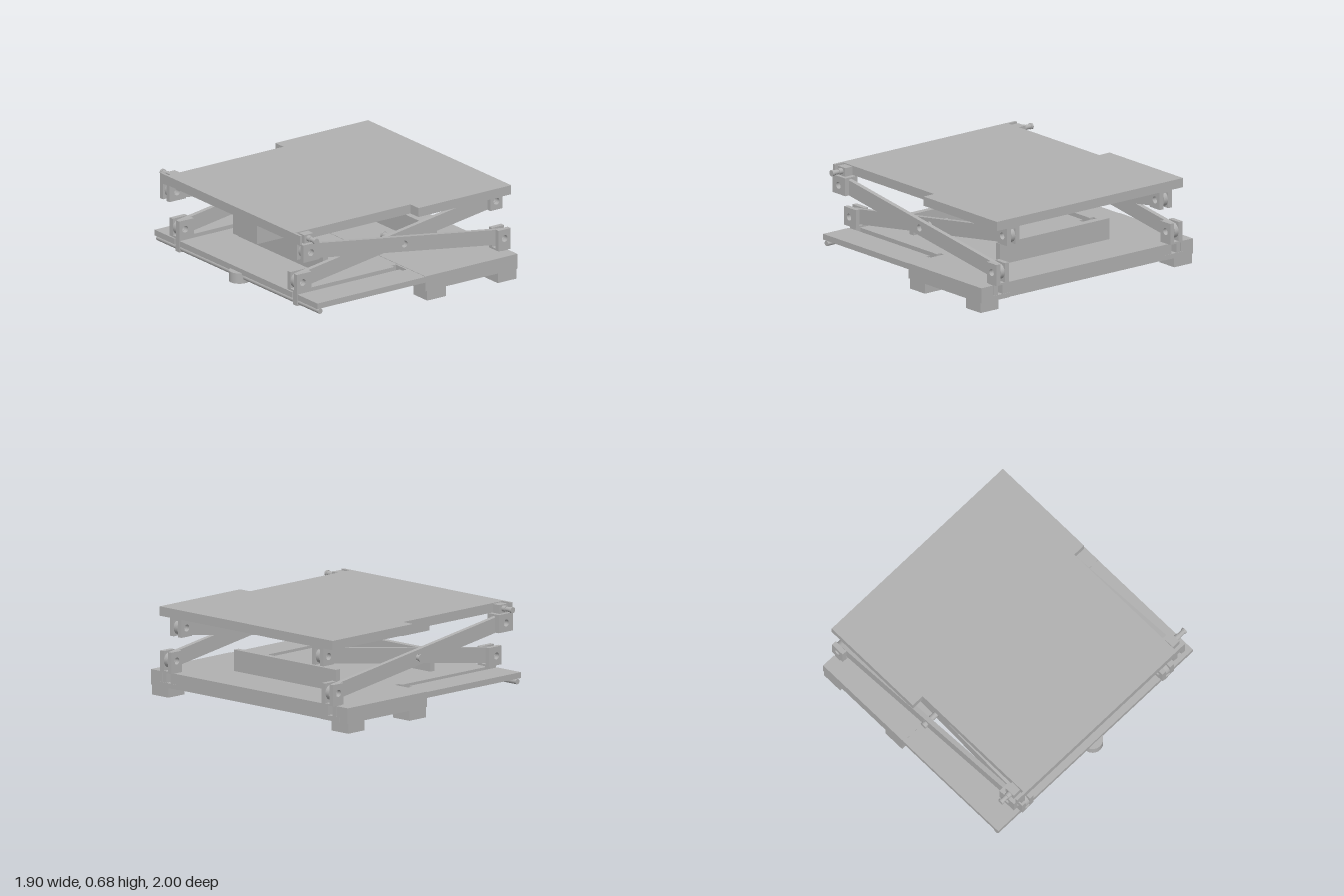
import * as THREE from 'three';

const gray = new THREE.MeshStandardMaterial({ color: 0xb0b0b0 });
gray.name = 'plain gray';

export function createModel() {
  const model = new THREE.Group();
  model.name = 'scissorLift';

  const add = (name, geometry, x = 0, y = 0, z = 0) => {
    const mesh = new THREE.Mesh(geometry, gray);
    mesh.name = name;
    mesh.position.set(x, y, z);
    model.add(mesh);
    return mesh;
  };
  // Box given by its limits on each axis
  const box = (name, x0, x1, y0, y1, z0, z1) =>
    add(name, new THREE.BoxGeometry(x1 - x0, y1 - y0, Math.abs(z1 - z0)),
      (x0 + x1) / 2, (y0 + y1) / 2, (z0 + z1) / 2);
  // Flat plate cut from a plan outline of [x, z] points
  const plate = (name, points, y0, y1) => {
    const shape = new THREE.Shape(points.map(([x, z]) => new THREE.Vector2(x, z)));
    const geometry = new THREE.ExtrudeGeometry(shape, { depth: y1 - y0, bevelEnabled: false });
    add(name, geometry.rotateX(Math.PI / 2), 0, y1, 0);
  };
  // Outline given for +z, completed by its mirror image at -z
  const mirrored = (half) => [...half, ...half.map(([x, z]) => [x, -z]).reverse()];
  // Round pin along z
  const pin = (name, x, y, z0, z1, r) =>
    add(name, new THREE.CylinderGeometry(r, r, Math.abs(z1 - z0), 24).rotateX(Math.PI / 2),
      x, y, (z0 + z1) / 2);
  const hole = (shape, x, y, r) => shape.holes.push(new THREE.Path().absarc(x, y, r, 0, Math.PI * 2, true));
  const HOLE = 0.026, MID = 0.013, LEFT = -0.865, RIGHT = 0.89, LOW = 0.28, HIGH = 0.54;

  // Table top, narrowed on the sliding side
  plate('tableTop', mirrored([[-0.95, 0.78], [0.11, 0.78], [0.11, 0.88], [0.95, 0.88]]), 0.61, 0.68);
  box('tableBlock', -0.815, -0.535, 0.385, 0.61, -0.147, 0.147);

  // Base: slotted thin half and thick half notched for the fixed brackets
  plate('baseThinHalf', mirrored([
    [0.09, 1], [-0.895, 1], [-0.895, 0.757], [0.03, 0.757], [0.03, 0.79], [0.07, 0.79],
    [0.07, 0.655], [0.03, 0.655], [0.03, 0.69], [-0.895, 0.69],
  ]), 0.143, 0.187);
  plate('baseThickHalf', mirrored([
    [0.085, 1], [0.917, 1], [0.917, 0.887], [0.86, 0.887], [0.86, 0.765], [0.917, 0.765],
  ]), 0.075, 0.19);
  for (const x of [-0.49, 0.5]) box('crossWall', x, x + 0.045, 0.187, 0.35, -0.517, 0.517);

  // Cross rod and its round nut
  pin('driveRod', LEFT, 0.12, -0.995, 0.995, 0.02);
  add('driveNut', new THREE.CylinderGeometry(0.077, 0.077, 0.08, 40), LEFT, 0.115, 0);

  // Forked bracket: two drilled cheeks joined by a bridge
  const bracket = (name, x0, x1, y0, y1, holeX, holeY, z, bridgeLow) => {
    for (const offset of [0.04, -0.04]) {
      const cheek = new THREE.Shape([
        new THREE.Vector2(x0, y0), new THREE.Vector2(x1, y0),
        new THREE.Vector2(x1, y1), new THREE.Vector2(x0, y1),
      ]);
      hole(cheek, holeX, holeY, HOLE);
      add(name + 'Cheek', new THREE.ExtrudeGeometry(cheek, { depth: 0.037, bevelEnabled: false, curveSegments: 20 }),
        0, 0, z + offset - 0.0185);
    }
    const b = bridgeLow ? y0 : y1 - 0.014;
    box(name + 'Bridge', x0, x1, b, b + 0.014, z - 0.03, z + 0.03);
  };

  // Drilled, round-ended arm between two pivots
  const arm = (name, yLeft, yRight, z) => {
    const dx = RIGHT - LEFT, dy = yRight - yLeft, half = Math.hypot(dx, dy) / 2, r = 0.057;
    const shape = new THREE.Shape();
    shape.absarc(half, 0, r, -Math.PI / 2, Math.PI / 2, false);
    shape.absarc(-half, 0, r, Math.PI / 2, Math.PI * 1.5, false);
    shape.closePath();
    for (const x of [-half, 0, half]) hole(shape, x, 0, HOLE);
    const mesh = add(name, new THREE.ExtrudeGeometry(shape, { depth: 0.036, bevelEnabled: false, curveSegments: 20 }),
      MID, 0.41, z - 0.018);
    mesh.rotation.z = Math.atan2(dy, dx);
  };

  for (const s of [1, -1]) {
    const outer = 0.822 * s, inner = 0.722 * s;

    // Feet
    for (const x of [0.1, 0.74]) box('foot', x, x + 0.17, 0, 0.08, 0.83 * s, 1 * s);

    // Crossed arms
    arm('outerArm', HIGH, LOW, outer);
    arm('innerArm', LOW, HIGH, inner);

    // Fixed brackets
    bracket('fixedTopBracket', 0.835, 0.945, 0.475, 0.61, RIGHT, HIGH, inner, false);
    bracket('fixedBaseBracket', 0.835, 0.945, 0.19, 0.35, RIGHT, LOW, outer, true);
    for (const o of [0.04, -0.04]) box('bracketLeg', 0.86, 0.917, 0.1, 0.19, outer + o - 0.018, outer + o + 0.018);
    box('bracketFlange', 0.85, 0.919, 0.073, 0.11, 0.73 * s, 0.915 * s);

    // Sliding upper bracket with stem, stop and side pin
    bracket('slidingTopBracket', -0.935, -0.787, 0.475, 0.61, LEFT, HIGH, outer, false);
    box('topStem', -0.905, -0.822, 0.605, 0.675, 0.785 * s, 0.852 * s);
    box('topStop', -0.95, -0.93, 0.61, 0.68, 0.775 * s, 0.86 * s);
    pin('topSidePin', LEFT, 0.645, 0.85 * s, 0.94 * s, 0.018);
    pin('topSidePinHead', LEFT, 0.645, 0.93 * s, 0.948 * s, 0.023);
    pin('topSidePinCollar', LEFT, 0.645, 0.85 * s, 0.885 * s, 0.023);

    // Sliding lower bracket with stem on the rod
    bracket('slidingBaseBracket', -0.92, -0.787, 0.21, 0.35, LEFT, LOW, inner, true);
    box('baseStem', -0.893, -0.83, 0.095, 0.21, 0.7 * s, 0.747 * s);

    // Centre pivot pin, pointing backwards on both sides
    const end = s > 0 ? 0.757 : -0.69;
    pin('pivotPin', MID, 0.41, end, end - 0.18, 0.022);
    pin('pivotPinHead', MID, 0.41, end, end - 0.015, 0.03);
    pin('pivotPinTip', MID, 0.41, end - 0.162, end - 0.18, 0.026);
  }
  return model;
}
